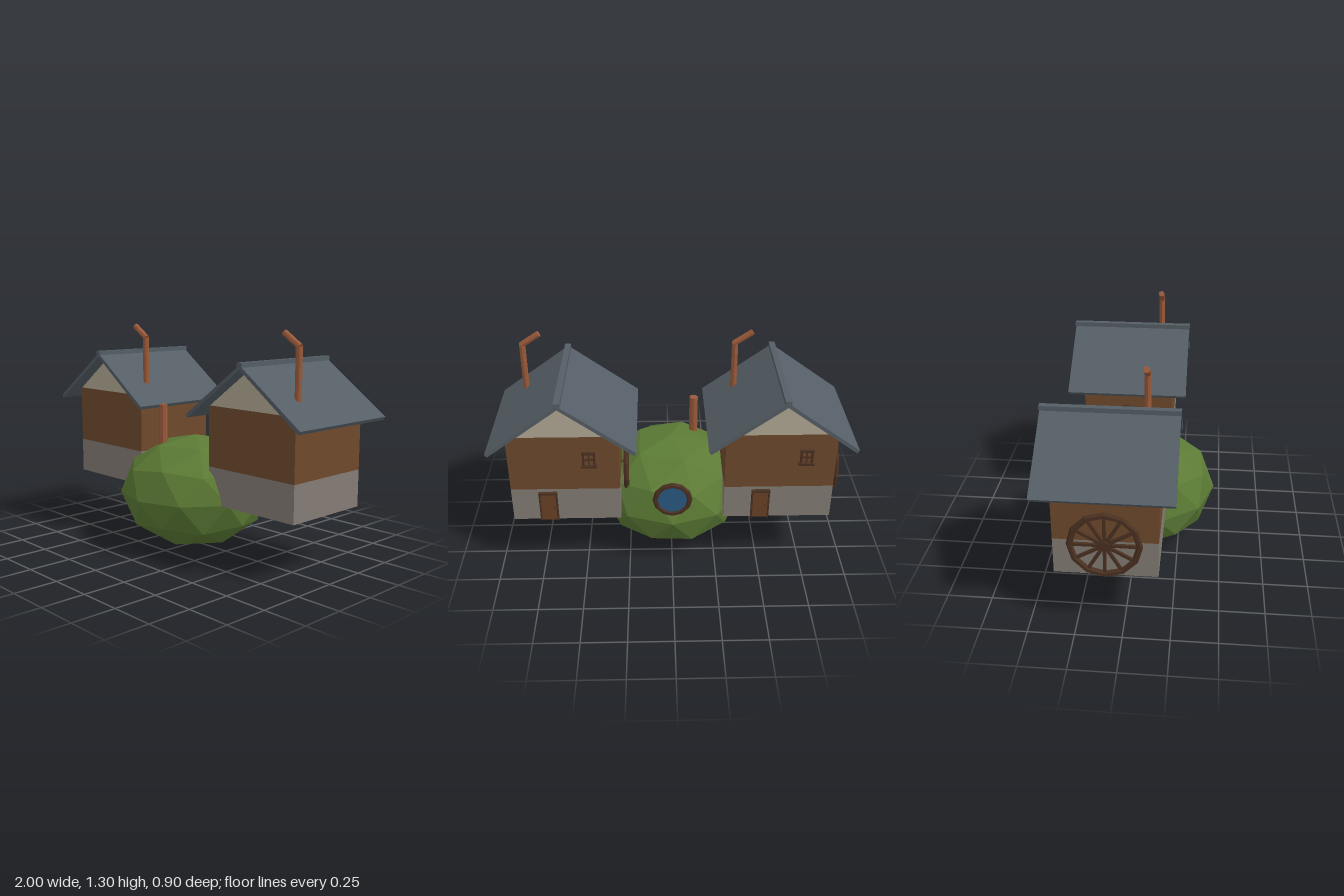
import * as THREE from 'three';

const mat = (name, color) => new THREE.MeshStandardMaterial({ name, color, flatShading: true });

export function createModel() {
  const M = {
    stone: mat('stone', 0x857d76),
    wall: mat('wallBrown', 0x6f4a2d),
    plaster: mat('plaster', 0xb3aa96),
    slate: mat('slate', 0x555e66),
    copper: mat('copper', 0x9a5a3a),
    wood: mat('darkWood', 0x4a3020),
    door: mat('doorWood', 0x6a4226),
    glass: mat('glass', 0x2a5a82),
    green: mat('bushGreen', 0x5c7b35),
  };
  const root = new THREE.Group();
  root.name = 'twinHouses';

  const add = (parent, name, geo, material, x = 0, y = 0, z = 0) => {
    const m = new THREE.Mesh(geo, material);
    m.name = name;
    m.position.set(x, y, z);
    parent.add(m);
    return m;
  };
  const box = (parent, name, material, w, h, d, x, y, z) =>
    add(parent, name, new THREE.BoxGeometry(w, h, d), material, x, y, z);
  // Round pipe between two points
  const pipe = (parent, name, material, a, b, r, sides = 8) => {
    const p = new THREE.Vector3(...a), q = new THREE.Vector3(...b);
    const m = add(parent, name, new THREE.CylinderGeometry(r, r, p.distanceTo(q), sides), material);
    m.position.copy(p).add(q).multiplyScalar(0.5);
    m.quaternion.setFromUnitVectors(new THREE.Vector3(0, 1, 0), q.sub(p).normalize());
    return m;
  };
  // Outline in x and y, extruded from z0 to z1
  const prism = (points, z0, z1) => {
    const shape = new THREE.Shape(points.map(([x, y]) => new THREE.Vector2(x, y)));
    return new THREE.ExtrudeGeometry(shape, { depth: z1 - z0, bevelEnabled: false }).translate(0, 0, z0);
  };

  function makeWheel() {
    const wheel = new THREE.Group();
    wheel.name = 'waterWheel';
    add(wheel, 'wheelRim', new THREE.TorusGeometry(0.177, 0.017, 6, 12), M.wood);
    for (let i = 0; i < 6; i++) {
      const bar = box(wheel, 'wheelSpoke', M.wood, 0.35, 0.016, 0.014, 0, 0, 0);
      bar.rotation.z = (i * Math.PI) / 6;
    }
    pipe(wheel, 'wheelHub', M.wood, [0, 0, -0.016], [0, 0, 0.016], 0.028, 12);
    pipe(wheel, 'wheelAxle', M.wood, [0, 0, 0], [0, 0, 0.04], 0.012);
    wheel.rotation.y = Math.PI / 2;
    return wheel;
  }

  function makeHouse() {
    const house = new THREE.Group();
    house.name = 'house';
    const zc = -0.09, back = -0.36;
    box(house, 'stoneBase', M.stone, 0.61, 0.207, 0.54, 0, 0.4365, zc);
    box(house, 'upperWall', M.wall, 0.61, 0.34, 0.54, 0, 0.71, zc);
    add(house, 'gable', prism([[-0.305, 0.88], [0.305, 0.88], [0, 1.105]], back, 0.18), M.plaster);
    add(house, 'roof', prism([
      [0, 1.122], [-0.403, 0.83], [-0.391, 0.812], [0, 1.098], [0.391, 0.812], [0.403, 0.83],
    ], -0.447, 0.264), M.slate);
    box(house, 'ridgeCap', M.slate, 0.034, 0.026, 0.718, 0, 1.122, -0.092);

    // Bent stovepipe
    pipe(house, 'chimneyPipe', M.copper, [0.235, 0.93, 0.08], [0.235, 1.22, 0.08], 0.018);
    pipe(house, 'chimneySpout', M.copper, [0.241, 1.217, 0.08], [0.138, 1.285, 0.08], 0.018);

    // Back door with frame and knob
    const door = new THREE.Group();
    door.name = 'door';
    box(door, 'doorPanel', M.door, 0.088, 0.175, 0.012, 0, 0.4235, back - 0.006);
    for (const s of [-1, 1]) box(door, 'doorPost', M.wood, 0.009, 0.18, 0.018, s * 0.047, 0.4255, back - 0.009);
    box(door, 'doorLintel', M.wood, 0.104, 0.011, 0.02, 0, 0.516, back - 0.01);
    add(door, 'doorKnob', new THREE.IcosahedronGeometry(0.006, 0), M.wood, -0.03, 0.42, back - 0.016);
    door.position.x = 0.1;
    house.add(door);

    // Small back window: posts with crossing bars
    const win = new THREE.Group();
    win.name = 'backWindow';
    for (const s of [-1, 1]) box(win, 'windowPost', M.wood, 0.012, 0.096, 0.01, s * 0.03, 0.737, back - 0.005);
    box(win, 'windowMullion', M.wood, 0.007, 0.09, 0.008, 0, 0.737, back - 0.004);
    box(win, 'windowCrossbar', M.wood, 0.06, 0.008, 0.01, 0, 0.737, back - 0.005);
    box(win, 'windowHead', M.wood, 0.075, 0.014, 0.014, 0, 0.777, back - 0.007);
    box(win, 'windowSill', M.wood, 0.088, 0.012, 0.018, 0, 0.694, back - 0.009);
    win.position.x = -0.14;
    house.add(win);

    const wheel = makeWheel();
    wheel.position.set(-0.338, 0.539, zc);
    house.add(wheel);
    return house;
  }

  for (const x of [-0.597, 0.597]) {
    const house = makeHouse();
    house.position.x = x;
    root.add(house);
  }

  // Faceted bush mound with a vertex at each pole
  const bush = new THREE.IcosahedronGeometry(1, 1);
  bush.rotateZ(Math.atan(2 / (1 + Math.sqrt(5))));
  bush.scale(0.437, 0.33, 0.443);
  add(root, 'bushMound', bush, M.green, 0, 0.333, 0.01);
  pipe(root, 'moundPipe', M.copper, [-0.137, 0.56, 0.14], [-0.137, 0.84, 0.14], 0.025);

  // Round window at the back of the mound
  const porthole = new THREE.Group();
  porthole.name = 'roundWindow';
  add(porthole, 'roundWindowRim', new THREE.TorusGeometry(0.096, 0.016, 6, 12), M.wood);
  add(porthole, 'roundWindowGlass', new THREE.CylinderGeometry(0.094, 0.094, 0.009, 24).rotateX(Math.PI / 2), M.glass);
  porthole.position.set(0, 0.49, -0.404);
  root.add(porthole);

  return root;
}
